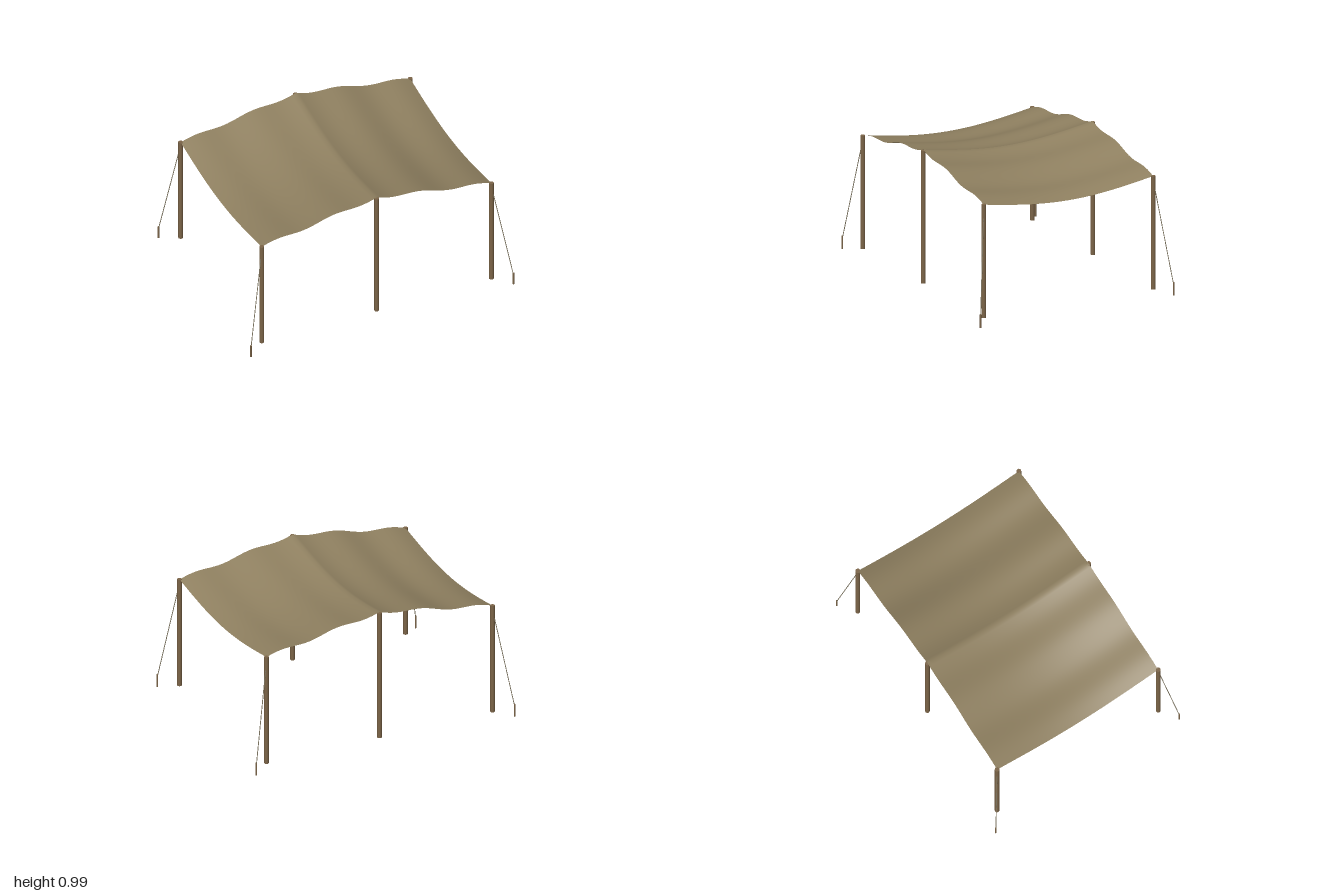
import * as THREE from 'three';

const HALF_X = 0.87, HALF_Z = 0.663;

// Height of the cloth: ridge along z, sag between the ends, ripples down each slope
function clothHeight(x, z) {
  const u = Math.abs(x) / HALF_X;
  const ridge = 0.988 - 0.148 * u;
  const sag = 0.071 * Math.cos((z / HALF_Z) * Math.PI / 2);
  const ripple = -0.011 * Math.sin(u * Math.PI * 4);
  return ridge - sag + ripple;
}

export function createModel() {
  const model = new THREE.Group();
  const canvas = new THREE.MeshStandardMaterial({ color: 0x8f8060, side: THREE.DoubleSide });
  canvas.name = 'canvas';
  const wood = new THREE.MeshStandardMaterial({ color: 0x7c6548 });
  wood.name = 'wood';
  const rope = new THREE.MeshStandardMaterial({ color: 0x857c66 });
  rope.name = 'rope';

  // Round bar between two points
  function bar(name, from, to, radius, sides, material) {
    const dir = to.clone().sub(from);
    const mesh = new THREE.Mesh(new THREE.CylinderGeometry(radius, radius, dir.length(), sides), material);
    mesh.position.copy(from).add(to).multiplyScalar(0.5);
    mesh.quaternion.setFromUnitVectors(new THREE.Vector3(0, 1, 0), dir.normalize());
    mesh.name = name;
    model.add(mesh);
  }
  const v = (x, y, z) => new THREE.Vector3(x, y, z);

  // Sagging cloth roof
  const cloth = new THREE.PlaneGeometry(HALF_X * 2, HALF_Z * 2, 64, 32).rotateX(-Math.PI / 2);
  const p = cloth.attributes.position;
  for (let i = 0; i < p.count; i++) p.setY(i, clothHeight(p.getX(i), p.getZ(i)));
  cloth.computeVertexNormals();
  const roof = new THREE.Mesh(cloth, canvas);
  roof.name = 'canopy';
  model.add(roof);

  for (const sz of [-1, 1]) {
    const z = sz * HALF_Z;
    // Tall post under the ridge
    bar('ridgePost', v(0, 0.025, z), v(0, 0.983, z), 0.0165, 12, wood);
    for (const sx of [-1, 1]) {
      const x = sx * HALF_X;
      // Corner post with its guy rope and ground stake
      bar('cornerPost', v(x, 0.025, z), v(x, 0.843, z), 0.0165, 12, wood);
      bar('guyRope', v(x, 0.81, z), v(sx * 0.993, 0.085, sz * 0.754), 0.003, 6, rope);
      bar('stake', v(sx * 0.994, 0, sz * 0.755), v(sx * 0.994, 0.095, sz * 0.755), 0.006, 8, wood);
    }
  }
  return model;
}
